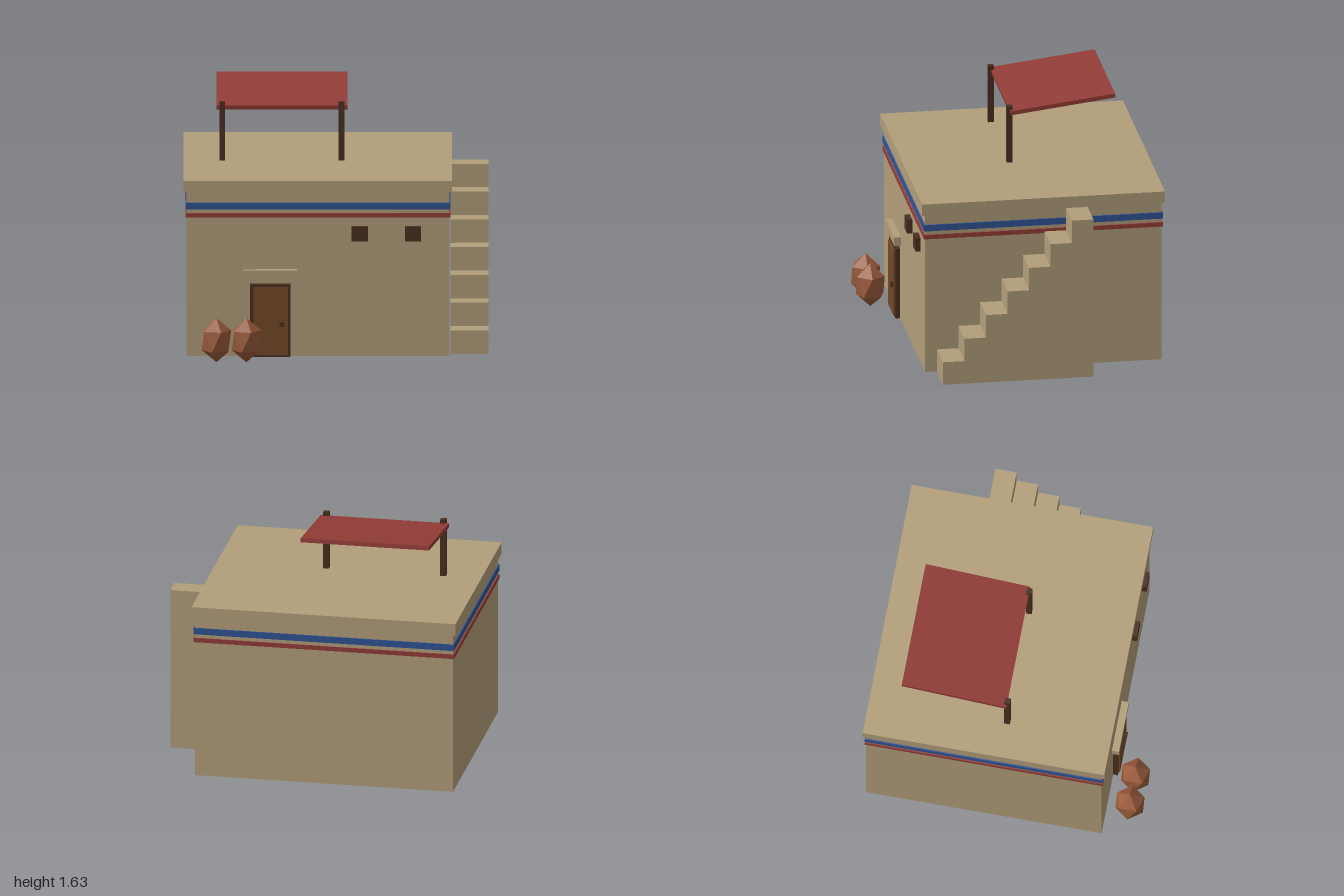
import * as THREE from 'three';

const mat = (name, color) => {
  const m = new THREE.MeshStandardMaterial({ color });
  m.name = name;
  return m;
};

export function createModel() {
  const sand = mat('sandPlaster', 0xb29e7a);
  const blue = mat('bluePaint', 0x2f5394);
  const red = mat('redPaint', 0x933c37);
  const dark = mat('darkWood', 0x4a2f20);
  const wood = mat('doorWood', 0x734a27);
  const rust = mat('rustFoliage', 0x9a5a3c);
  rust.flatShading = true;

  const model = new THREE.Group();
  model.name = 'house';

  // Box given by its minimum and maximum along each axis
  const box = (name, material, [x0, x1], [y0, y1], [z0, z1], parent = model) => {
    const mesh = new THREE.Mesh(new THREE.BoxGeometry(x1 - x0, y1 - y0, z1 - z0), material);
    mesh.position.set((x0 + x1) / 2, (y0 + y1) / 2, (z0 + z1) / 2);
    mesh.name = name;
    parent.add(mesh);
    return mesh;
  };

  // House body, roof slab and painted bands
  box('walls', sand, [-0.98, 0.74], [0.015, 1.115], [-0.898, 0.67]);
  box('roofSlab', sand, [-1, 0.76], [1.112, 1.19], [-0.918, 0.692]);
  box('blueBand', blue, [-0.988, 0.75], [0.998, 1.041], [-0.906, 0.679]);
  box('redBand', red, [-0.988, 0.75], [0.943, 0.972], [-0.906, 0.679]);

  // Outside staircase: stepped side profile extruded across its width
  const steps = 7, run = 0.1425, rise = 0.1565, front = 0.592, base = 0.015;
  const profile = new THREE.Shape();
  profile.moveTo(-front, base);
  for (let i = 0; i < steps; i++) {
    profile.lineTo(-front + i * run, base + (i + 1) * rise);
    profile.lineTo(-front + (i + 1) * run, base + (i + 1) * rise);
  }
  profile.lineTo(-front + steps * run, base);
  const stairGeometry = new THREE.ExtrudeGeometry(profile, { depth: 0.25, bevelEnabled: false });
  stairGeometry.rotateY(Math.PI / 2);
  const stairs = new THREE.Mesh(stairGeometry, sand);
  stairs.position.x = 0.749;
  stairs.name = 'staircase';
  model.add(stairs);

  // Door with frame, knob and lintel
  const door = new THREE.Group();
  door.name = 'door';
  model.add(door);
  box('doorFrame', dark, [-0.564, -0.298], [0.016, 0.5], [0.66, 0.702], door);
  box('doorPanel', wood, [-0.543, -0.315], [0.03, 0.48], [0.66, 0.712], door);
  box('doorKnob', dark, [-0.372, -0.34], [0.22, 0.252], [0.7, 0.726], door);
  box('lintel', sand, [-0.61, -0.257], [0.535, 0.596], [0.66, 0.717], door);

  // Small windows
  for (const x of [0.154, 0.504]) {
    box('window', dark, [x - 0.053, x + 0.053], [0.79, 0.885], [0.66, 0.705]);
  }

  // Rooftop canopy: two posts and a tilted sheet
  for (const x of [-0.745, 0.035]) {
    box('canopyPost', dark, [x - 0.019, x + 0.019], [1.18, 1.581], [-0.019, 0.019]);
  }
  const canopy = box('canopy', red, [-0.782, 0.074], [1.568, 1.596], [-0.7, 0.0]);
  canopy.rotation.x = 0.122;

  // Faceted bushes, turned so that a corner points up
  const bushGeometry = new THREE.IcosahedronGeometry(1, 0);
  bushGeometry.rotateZ(-Math.atan(2 / (1 + Math.sqrt(5))));
  bushGeometry.scale(0.108, 0.1485, 0.108);
  // The last three stand under the house, with only their tips below the floor
  const spots = [[-0.784, 0.823], [-0.588, 0.823], [0.283, -0.225], [-0.067, -0.31], [-0.445, -0.27]];
  for (const [x, z] of spots) {
    const bush = new THREE.Mesh(bushGeometry, rust);
    bush.position.set(x, 0.1535, z);
    bush.name = 'bush';
    model.add(bush);
  }

  return model;
}
